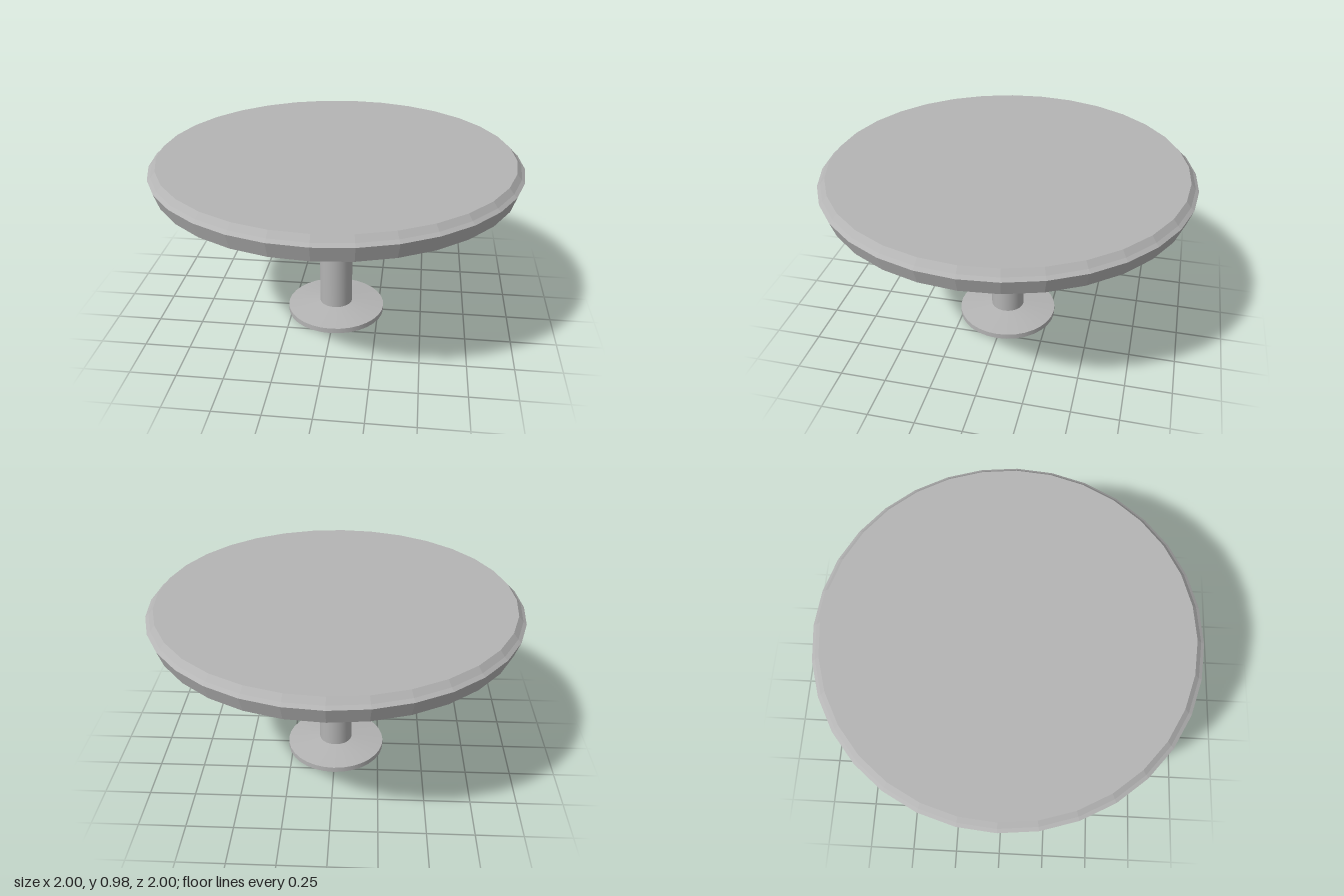
import * as THREE from 'three';

const SIDES = 32;

export function createModel() {
  const table = new THREE.Group();
  table.name = 'pedestalTable';
  const grey = new THREE.MeshStandardMaterial({ color: 0xb4b4b4 });
  grey.name = 'grey';

  // One lathed band per profile segment keeps the edges between bands sharp
  function turned(name, profile, faceted) {
    const part = new THREE.Group();
    part.name = name;
    for (let i = 0; i < profile.length - 1; i++) {
      const points = [profile[i], profile[i + 1]].map(([r, y]) => new THREE.Vector2(r, y));
      let geometry = new THREE.LatheGeometry(points, SIDES);
      if (faceted) {
        geometry = geometry.toNonIndexed();
        geometry.computeVertexNormals();
      }
      const band = new THREE.Mesh(geometry, grey);
      band.name = name + 'Band' + (i + 1);
      part.add(band);
    }
    table.add(part);
  }

  // Round foot with a shallow sloping top
  turned('foot', [[0, 0], [0.28, 0], [0.28, 0.03], [0.094, 0.055]], false);

  // Central column
  turned('column', [[0.094, 0.05], [0.094, 0.735]], false);

  // Table top: conical underside, flared rim, stepped bevel and flat surface
  turned('tableTop', [
    [0, 0.727], [0.094, 0.727], [0.972, 0.85], [1, 0.932],
    [0.982, 0.946], [0.957, 0.975], [0, 0.975],
  ], true);

  return table;
}
